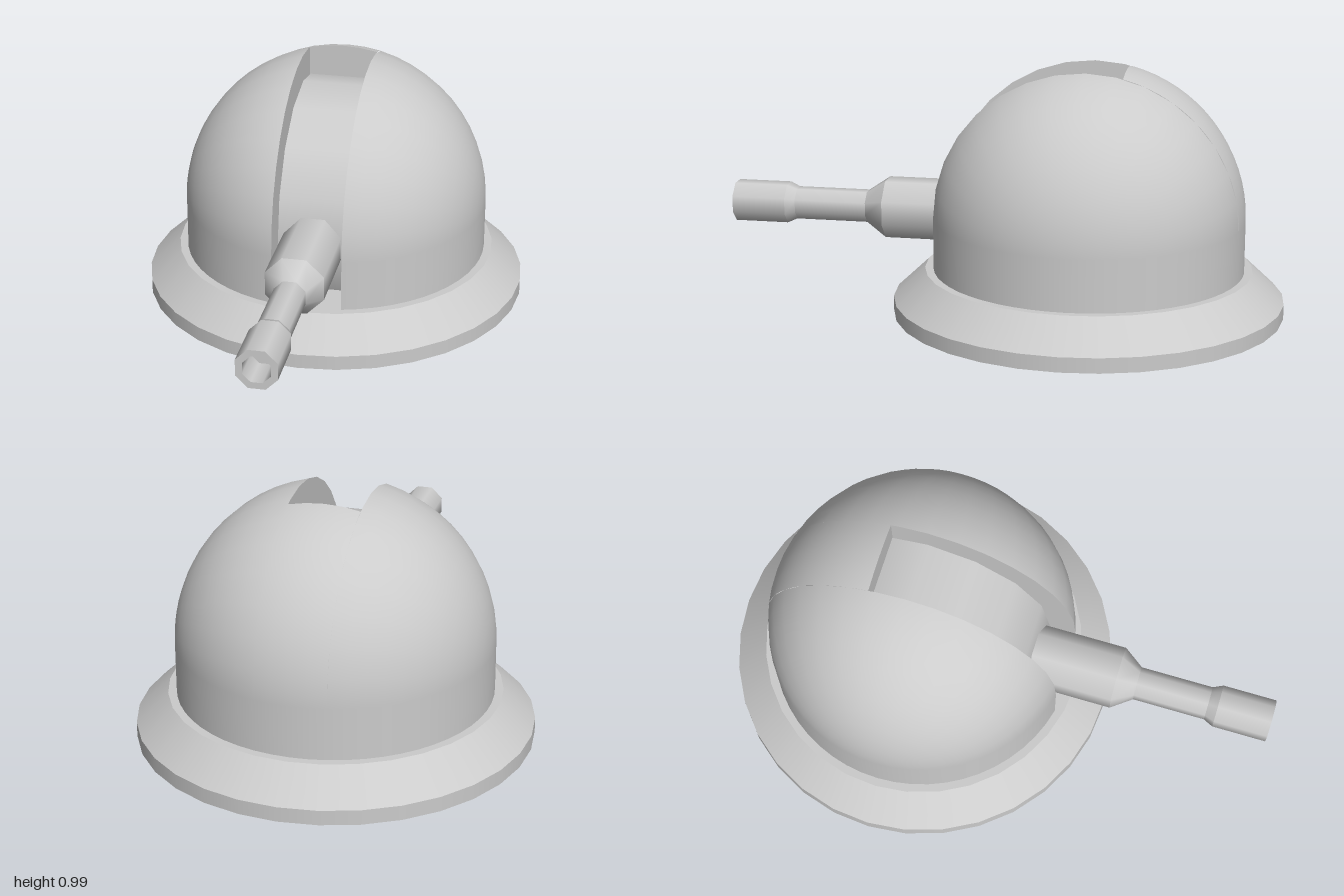
import * as THREE from 'three';
import { mergeGeometries } from 'three/addons/utils/BufferGeometryUtils.js';

const R = 0.555;      // dome radius
const CY = 0.445;     // height of the dome centre and gun axis
const BASE_Y = 0.26;  // top of the base ring
const SLOT = 0.125;   // half width of the gun slot
const SLOT_BACK = -0.13;

const material = new THREE.MeshStandardMaterial({ color: 0xcccccc });

function part(name, geometry) {
  const mesh = new THREE.Mesh(geometry, material);
  mesh.name = name;
  return mesh;
}

// Lathe with a sharp edge at every profile point, smooth around the axis
function sharpLathe(profile, sides, phi = 0) {
  const bands = [];
  for (let i = 0; i + 1 < profile.length; i++) {
    const pair = [profile[i], profile[i + 1]].map(([r, y]) => new THREE.Vector2(r, y));
    bands.push(new THREE.LatheGeometry(pair, sides, phi));
  }
  return mergeGeometries(bands);
}

// Dome skin lofted from arches across x; each arch runs front to back
function domeSkin(xs, startAngle, frontWall) {
  const steps = 16, pos = [], nor = [], idx = [];
  let row = 0;
  for (const x of xs) {
    const rho = Math.sqrt(Math.max(0, R * R - x * x));
    const a0 = startAngle(rho);
    const arch = frontWall ? [[BASE_Y, rho]] : [];
    for (let j = 0; j <= steps; j++) {
      const a = a0 + (Math.PI - a0) * j / steps;
      arch.push([CY + rho * Math.sin(a), rho * Math.cos(a)]);
    }
    arch.push([BASE_Y, -rho]);
    row = arch.length;
    for (const [y, z] of arch) {
      pos.push(x, y, z);
      nor.push(x / R, Math.max(0, y - CY) / R, z / R);
    }
  }
  for (let i = 0; i + 1 < xs.length; i++) {
    for (let j = 0; j + 1 < row; j++) {
      const a = i * row + j, b = a + row;
      idx.push(a, b, a + 1, b, b + 1, a + 1);
    }
  }
  const g = new THREE.BufferGeometry();
  g.setAttribute('position', new THREE.Float32BufferAttribute(pos, 3));
  g.setAttribute('normal', new THREE.Float32BufferAttribute(nor, 3));
  g.setIndex(idx);
  return g;
}

// One side of the dome with its flat slot wall
function domeSide(name) {
  const group = new THREE.Group();
  group.name = name;
  const t0 = Math.asin(SLOT / R), xs = [];
  for (let i = 0; i <= 12; i++) xs.push(R * Math.sin(t0 + (Math.PI / 2 - t0) * i / 12));
  group.add(part('domeShell', domeSkin(xs, () => 0, true)));

  const rho = Math.sqrt(R * R - SLOT * SLOT);
  const wall = new THREE.Shape();
  wall.moveTo(-rho, BASE_Y);
  wall.lineTo(rho, BASE_Y);
  for (let j = 0; j <= 16; j++) {
    const a = Math.PI * j / 16;
    wall.lineTo(rho * Math.cos(a), CY + rho * Math.sin(a));
  }
  const g = new THREE.ShapeGeometry(wall).rotateY(-Math.PI / 2).translate(SLOT, 0, 0);
  group.add(part('slotWall', g));
  return group;
}

export function createModel() {
  const model = new THREE.Group();
  model.name = 'gunTurret';
  const turret = new THREE.Group();
  turret.name = 'turret';
  turret.position.z = -0.3;
  model.add(turret);

  // Bevelled base ring
  turret.add(part('baseRing', sharpLathe(
    [[0, 0.1], [0.698, 0.1], [0.698, 0.153], [0.585, BASE_Y], [0, BASE_Y]], 32)));

  // Dome halves either side of the slot
  const left = domeSide('domeLeft');
  const right = domeSide('domeRight');
  right.rotation.y = Math.PI;
  turret.add(left, right);

  // Dome strip behind the slot, and the slot's end wall
  const xs = [-1, -0.5, 0, 0.5, 1].map((k) => k * SLOT);
  turret.add(part('domeBack', domeSkin(xs, (rho) => Math.acos(SLOT_BACK / rho), false)));
  const end = new THREE.Shape();
  end.moveTo(-SLOT, CY);
  end.lineTo(SLOT, CY);
  for (const x of [...xs].reverse()) {
    end.lineTo(x, CY + Math.sqrt(R * R - SLOT_BACK * SLOT_BACK - x * x));
  }
  turret.add(part('slotEnd', new THREE.ShapeGeometry(end).translate(0, 0, SLOT_BACK)));

  // Tilting drum in the slot, showing below the base
  const drum = part('gunDrum', new THREE.CylinderGeometry(CY, CY, SLOT * 2 - 0.004, 16));
  drum.rotation.z = Math.PI / 2;
  drum.position.y = CY;
  turret.add(drum);

  // Eight-sided barrel with a hollow muzzle
  const k = 1 / Math.cos(Math.PI / 8);
  const profile = [[0, 0], [0.103, 0], [0.103, 0.435], [0.055, 0.508], [0.055, 0.77],
    [0.07, 0.805], [0.07, 1], [0.047, 1], [0.047, 0.88], [0, 0.88]];
  const barrel = part('gunBarrel',
    sharpLathe(profile.map(([r, z]) => [r * k, z]), 8, Math.PI / 8));
  barrel.rotation.x = Math.PI / 2;
  barrel.position.y = CY;
  model.add(barrel);

  return model;
}
